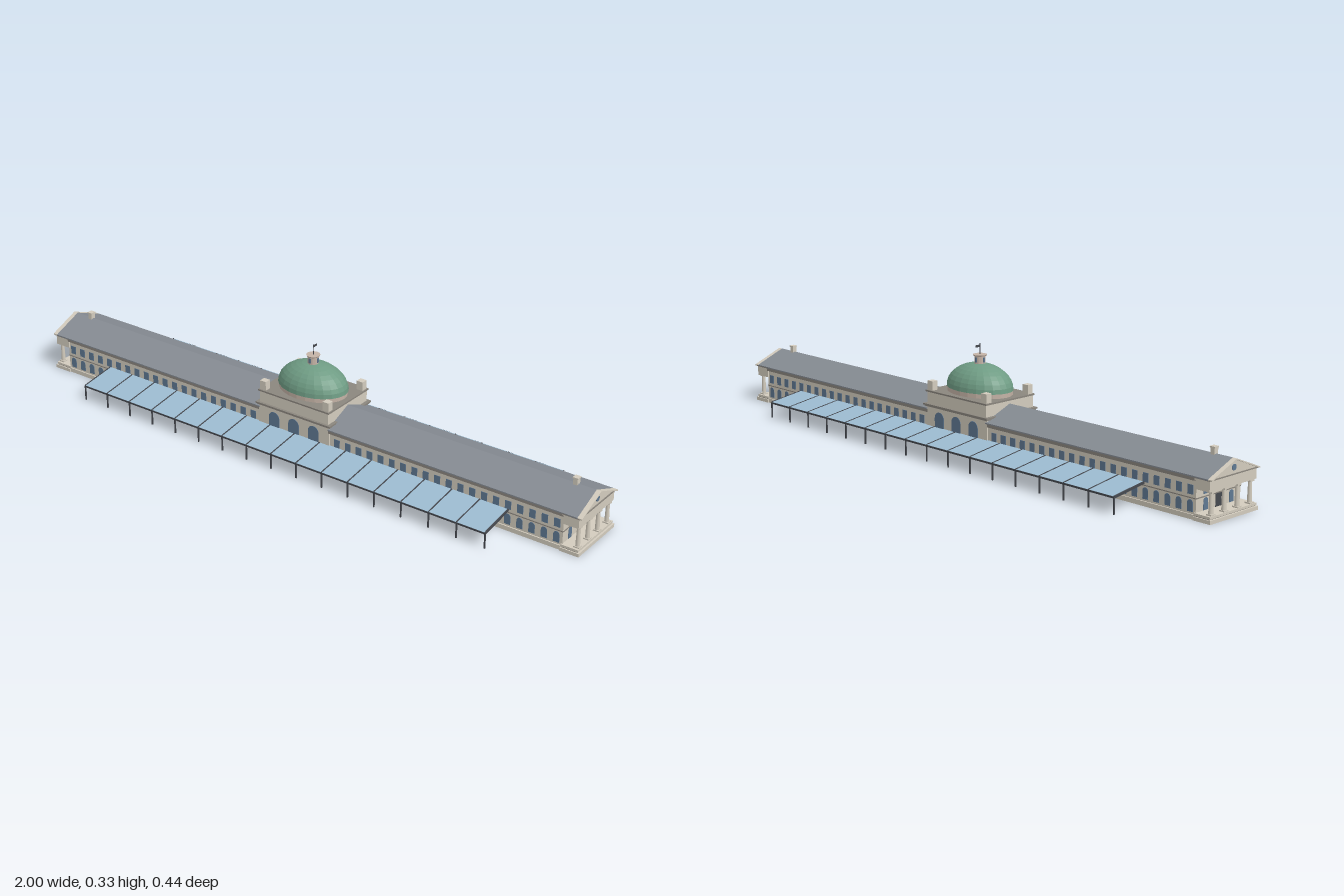
import * as THREE from 'three';
import { mergeGeometries } from 'three/addons/utils/BufferGeometryUtils.js';

export function createModel() {
  const root = new THREE.Group();
  root.name = 'longHall';
  const mat = (name, color, opts = {}) => {
    const m = new THREE.MeshStandardMaterial({ color, ...opts });
    m.name = name;
    return m;
  };
  const stone = mat('stone', 0xd3ccbe);
  const trim = mat('darkTrim', 0x8b867e);
  const slate = mat('slateRoof', 0x868c93);
  const copper = mat('greenCopper', 0x6f9c84, { flatShading: true });
  const drumStone = mat('drumStone', 0xc4b3a6, { flatShading: true });
  const pane = mat('windowPane', 0x5f7892);
  const glass = mat('canopyGlass', 0x9cbbd0);
  const iron = mat('darkIron', 0x45484e);

  const add = (name, geos, material) => {
    const list = [].concat(geos);
    const mesh = new THREE.Mesh(list.length > 1 ? mergeGeometries(list) : list[0], material);
    mesh.name = name;
    root.add(mesh);
    return mesh;
  };
  // Box given by its limits
  const box = (x0, x1, y0, y1, z0, z1) =>
    new THREE.BoxGeometry(Math.abs(x1 - x0), y1 - y0, Math.abs(z1 - z0))
      .translate((x0 + x1) / 2, (y0 + y1) / 2, (z0 + z1) / 2);
  // Profile of [z, y] points extruded along x
  const prism = (pts, xa, xb) => {
    const shape = new THREE.Shape(pts.map(([z, y]) => new THREE.Vector2(-z, y)));
    return new THREE.ExtrudeGeometry(shape, { depth: Math.abs(xb - xa), bevelEnabled: false })
      .rotateY(Math.PI / 2).translate(Math.min(xa, xb), 0, 0);
  };
  // Thin window plate, square or arched, on the wall facing the given angle
  const plate = (u, y0, y1, w, d, angle, arched) => {
    const s = new THREE.Shape();
    const r = w / 2;
    s.moveTo(-r, y0);
    s.lineTo(r, y0);
    if (arched) s.absarc(0, y1 - r, r, 0, Math.PI, false);
    else s.lineTo(r, y1).lineTo(-r, y1);
    s.closePath();
    return new THREE.ExtrudeGeometry(s, { depth: 0.002, bevelEnabled: false, curveSegments: 6 })
      .translate(u, 0, d).rotateY(angle);
  };
  const sides = [1, -1];

  // Wings, open underneath
  const walls = [], cornices = [], plinths = [], upper = [], lower = [];
  for (const sx of sides) {
    for (const sz of sides) {
      walls.push(box(sx * 0.13, sx * 0.94, 0, 0.12, sz * 0.091, sz * 0.095));
      plinths.push(box(sx * 0.13, sx * 0.94, 0, 0.014, sz * 0.095, sz * 0.099));
      cornices.push(box(sx * 0.13, sx * 0.94, 0.11, 0.119, sz * 0.095, sz * 0.1));
      cornices.push(box(sx * 0.13, sx * 0.94, 0.058, 0.061, sz * 0.095, sz * 0.097));
      for (let i = 0; i < 20; i++) {
        const u = sx * (0.92 - i * 0.04);
        const angle = sz > 0 ? 0 : Math.PI;
        upper.push(plate(u, 0.069, 0.096, 0.02, 0.0945, angle, false));
        lower.push(plate(u, 0.02, 0.054, 0.02, 0.0945, angle, true));
      }
    }
    walls.push(box(sx * 0.936, sx * 0.94, 0, 0.12, -0.091, 0.091));
    cornices.push(box(sx * 0.94, sx * 0.942, 0.058, 0.061, -0.095, 0.095));
  }
  add('wingWalls', walls, stone);
  add('wingPlinths', plinths, stone);
  add('wingCornices', cornices, trim);
  add('upperWindows', upper, pane);
  add('lowerWindows', lower, pane);

  // Pitched roofs
  const chevron = [[-0.103, 0.12], [0, 0.162], [0.103, 0.12], [0.103, 0.124], [0, 0.166], [-0.103, 0.124]];
  add('wingRoofs', sides.map((s) => prism(chevron, s * 0.13, s * 0.985)), slate);
  add('roofChimneys', sides.map((s) => box(s * 0.914, s * 0.928, 0.155, 0.182, -0.008, 0.008)), stone);
  add('chimneyCaps', sides.map((s) => box(s * 0.912, s * 0.93, 0.182, 0.186, -0.009, 0.009)), stone);

  // End porticoes
  for (const s of sides) {
    const angle = s * Math.PI / 2;
    add('porticoSteps', [
      box(s * 0.936, s * 0.997, 0, 0.011, -0.103, 0.103),
      box(s * 0.936, s * 0.993, 0.013, 0.02, -0.1, 0.1)], stone);
    add('porticoStepJoint', box(s * 0.936, s * 0.991, 0.011, 0.013, -0.099, 0.099), trim);
    add('porticoEntablature', box(s * 0.936, s * 0.99, 0.088, 0.121, -0.1, 0.1), stone);
    add('porticoMoulding', box(s * 0.936, s * 0.993, 0.119, 0.122, -0.103, 0.103), trim);
    add('pediment', prism([[-0.1, 0.122], [0.1, 0.122], [0, 0.163]], s * 0.965, s * 0.99), stone);
    add('rakingCornice', prism(chevron, s * 0.985, s), stone);
    add('pedimentWindow', new THREE.CylinderGeometry(0.009, 0.009, 0.004, 20)
      .rotateZ(Math.PI / 2).translate(s * 0.99, 0.14, 0), pane);
    const columns = [];
    for (const z of [-0.083, -0.028, 0.028, 0.083]) {
      columns.push(new THREE.CylinderGeometry(0.0055, 0.007, 0.062, 14).translate(s * 0.982, 0.053, z));
      columns.push(box(s * 0.973, s * 0.991, 0.02, 0.024, z - 0.009, z + 0.009));
      columns.push(box(s * 0.974, s * 0.99, 0.083, 0.088, z - 0.008, z + 0.008));
    }
    add('porticoColumns', columns.map((g) => g.toNonIndexed()), stone);
    add('porticoWindows', [-0.055, 0, 0.055].flatMap((u) => [
      plate(u, 0.067, 0.086, 0.018, 0.9395, angle, false),
      ...(u ? [plate(u, 0.021, 0.056, 0.018, 0.9395, angle, true)] : [])]), pane);
    add('porticoDoor', plate(0, 0.02, 0.058, 0.025, 0.9395, angle, false), iron);
  }

  // Central block, hollow below its roof platform
  const block = [box(-0.13, 0.13, 0.135, 0.178, -0.1, 0.1)];
  for (const s of sides) {
    block.push(box(-0.134, 0.134, 0, 0.135, s * 0.096, s * 0.1));
    block.push(box(s * 0.13, s * 0.134, 0, 0.135, -0.096, 0.096));
  }
  add('centralBlock', block, stone);
  add('blockCornice', [
    box(-0.138, 0.138, 0.13, 0.134, -0.104, 0.104),
    box(-0.141, 0.141, 0.134, 0.139, -0.108, 0.108)], trim);
  add('atticCornice', box(-0.134, 0.134, 0.176, 0.181, -0.103, 0.103), trim);
  add('blockArches', [0, Math.PI].flatMap((a) =>
    [-0.075, 0, 0.075].map((u) => plate(u, 0.02, 0.118, 0.04, 0.0995, a, true))), pane);
  add('cornerTurrets', sides.flatMap((sx) => sides.map((sz) =>
    box(sx * 0.108, sx * 0.13, 0.181, 0.21, sz * 0.077, sz * 0.098))), stone);

  // Oval drum and dome
  const drum = add('domeDrum', new THREE.CylinderGeometry(1, 1, 0.016, 24), drumStone);
  drum.scale.set(0.116, 1, 0.084);
  drum.position.y = 0.188;
  const profile = [];
  for (let i = 0; i <= 8; i++) {
    const t = (i / 8) * 1.42;
    profile.push(new THREE.Vector2(Math.cos(t), Math.sin(t)));
  }
  profile.push(new THREE.Vector2(0, 1));
  const dome = add('dome', new THREE.LatheGeometry(profile, 24), copper);
  dome.scale.set(0.119, 0.077, 0.086);
  dome.position.y = 0.195;

  // Lantern with pole and flag
  add('lantern', new THREE.CylinderGeometry(0.017, 0.018, 0.026, 12).translate(0, 0.281, 0), drumStone);
  add('lanternCap', new THREE.CylinderGeometry(0.022, 0.02, 0.004, 12).translate(0, 0.296, 0), drumStone);
  add('lanternWindows', [0, 1, 2, 3].map((i) =>
    plate(0, 0.275, 0.29, 0.007, 0.0165, i * Math.PI / 2, false)), pane);
  add('flagPole', new THREE.CylinderGeometry(0.001, 0.0015, 0.036, 8).translate(0, 0.315, 0), iron);
  add('flag', box(-0.0008, 0.0008, 0.321, 0.328, -0.017, 0), iron);

  // Glazed canopies along both long sides
  const x0 = -0.755, x1 = 0.762, bays = 16;
  for (const s of sides) {
    const slope = (top, bottom, xa, xb) => prism([
      [s * 0.097, 0.07 + top], [s * 0.219, 0.052 + top],
      [s * 0.219, 0.052 + bottom], [s * 0.097, 0.07 + bottom]], xa, xb);
    add('canopyGlass', slope(0, -0.002, x0, x1), glass);
    const frame = [];
    const posts = [];
    for (let i = 0; i <= bays; i++) {
      const x = x0 + ((x1 - x0) * i) / bays;
      frame.push(slope(0.001, -0.006, x - 0.002, x + 0.002));
      posts.push(box(x - 0.002, x + 0.002, 0, 0.05, s * 0.216, s * 0.22));
    }
    add('canopyRafters', frame, iron);
    add('canopyPosts', posts, iron);
    add('canopyBeams', [
      box(x0, x1, 0.046, 0.0515, s * 0.2165, s * 0.22),
      box(x0, x1, 0.063, 0.068, s * 0.096, s * 0.101)], iron);
  }
  return root;
}
